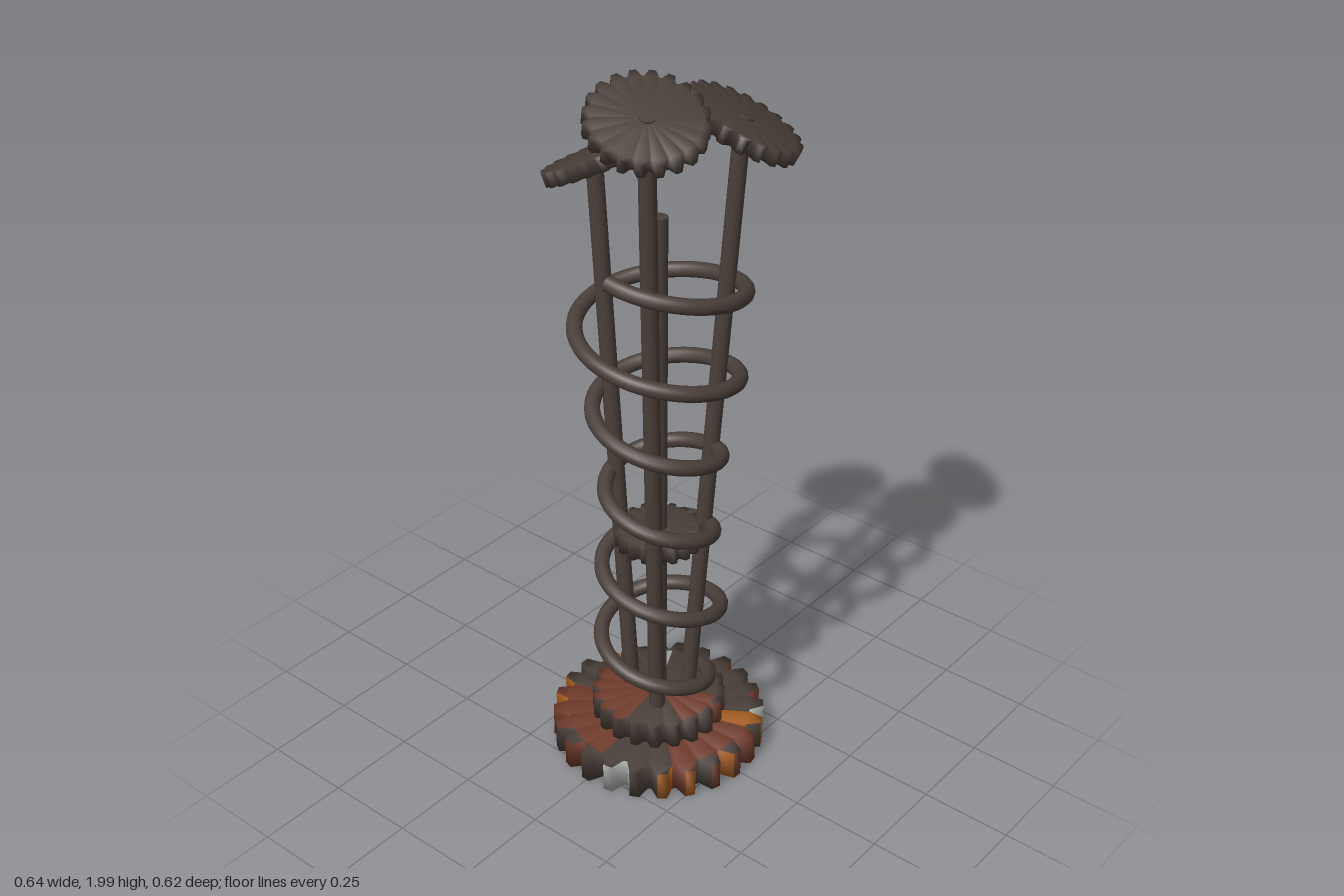
import * as THREE from 'three';

const make = (name, color) => {
  const m = new THREE.MeshStandardMaterial({ color });
  m.name = name;
  return m;
};
const materials = {
  D: make('dark iron', 0x4a3f39),
  R: make('rust', 0x6f3b2b),
  O: make('orange rust', 0xa55c1d),
  G: make('bare steel', 0xacaeab),
};
const keys = Object.keys(materials);
const CZ = 0.015; // the central axis

// Toothed disc; colour letters run around it: hub and tips of the top face, side wall, underside
function gear(name, { r, root, h, teeth, turn = 0, hub = 'D', tips = hub, side = 'D', bottom = 'D' }) {
  const pos = [0, h / 2, 0, 0, -h / 2, 0];
  const faces = { D: [], R: [], O: [], G: [] };
  const corners = [[-0.42, root], [-0.17, 1], [0.17, 1], [0.42, root]];
  const n = teeth * 4;
  for (let i = 0; i < n; i++) {
    const k = Math.floor(i / 4);
    const [shift, f] = corners[i % 4];
    const a = turn + ((k + shift) / teeth) * Math.PI * 2;
    const x = Math.cos(a) * r * f, z = Math.sin(a) * r * f;
    pos.push(x, h / 2, z, x, -h / 2, z);
    const at = (j) => 2 + ((i + j) % n) * 2;
    const t = at(0), b = t + 1, tn = at(1), bn = tn + 1;
    const pick = (letters) => faces[letters[Math.floor((i * letters.length) / n)]];
    if (i % 4 === 0) {
      pick(hub).push(0, at(3), t);
      pick(tips).push(t, at(3), at(2), t, at(2), tn);
    } else if (i % 4 === 3) {
      pick(hub).push(0, tn, t);
    }
    pick(side).push(b, t, tn, b, tn, bn);
    pick(bottom).push(1, b, bn);
  }
  const geo = new THREE.BufferGeometry();
  geo.setAttribute('position', new THREE.Float32BufferAttribute(pos, 3));
  const index = [];
  keys.forEach((key, m) => {
    if (faces[key].length) geo.addGroup(index.length, faces[key].length, m);
    index.push(...faces[key]);
  });
  geo.setIndex(index);
  geo.computeVertexNormals();
  const mesh = new THREE.Mesh(geo, keys.map((key) => materials[key]));
  mesh.name = name;
  return mesh;
}

// Straight round rod between two points
function rod(name, a, b, radius = 0.022) {
  const dir = b.clone().sub(a);
  const mesh = new THREE.Mesh(new THREE.CylinderGeometry(radius, radius, dir.length(), 16), materials.D);
  mesh.position.copy(a).lerp(b, 0.5);
  mesh.quaternion.setFromUnitVectors(new THREE.Vector3(0, 1, 0), dir.normalize());
  mesh.name = name;
  return mesh;
}

// Coil spring whose radius swells and narrows with height
function coil() {
  const group = new THREE.Group();
  group.name = 'coil';
  const knots = [[0.18, 0.122], [0.3, 0.15], [0.45, 0.156], [0.7, 0.135], [0.83, 0.136],
    [1.0, 0.16], [1.25, 0.202], [1.35, 0.204], [1.485, 0.196]];
  const radiusAt = (y) => {
    let i = 0;
    while (i < knots.length - 2 && y > knots[i + 1][0]) i++;
    const [[y0, r0], [y1, r1]] = [knots[i], knots[i + 1]];
    return THREE.MathUtils.lerp(r0, r1, THREE.MathUtils.smoothstep(y, y0, y1));
  };
  const points = [];
  for (let i = 0; i <= 176; i++) {
    const t = i / 176, a = t * Math.PI * 11, y = 0.18 + t * 1.305, r = radiusAt(y);
    points.push(new THREE.Vector3(r * Math.cos(a), y, 0.017 + 1.1 * r * Math.sin(a)));
  }
  const path = new THREE.CatmullRomCurve3(points);
  const wire = new THREE.Mesh(new THREE.TubeGeometry(path, 352, 0.021, 12), materials.D);
  wire.name = 'coilWire';
  group.add(wire);
  for (const [u, sign] of [[0, -1], [1, 1]]) {
    const cap = new THREE.Mesh(new THREE.CircleGeometry(0.021, 12), materials.D);
    cap.position.copy(path.getPointAt(u));
    cap.quaternion.setFromUnitVectors(new THREE.Vector3(0, 0, 1), path.getTangentAt(u).multiplyScalar(sign));
    cap.name = 'coilEnd';
    group.add(cap);
  }
  return group;
}

// Flat plate from an outline of [x, z] points, centred on its own y = 0
function plate(name, outline, depth, material) {
  const shape = new THREE.Shape(outline.map((p) => new THREE.Vector2(...p)));
  const geo = new THREE.ExtrudeGeometry(shape, { depth, bevelEnabled: false });
  geo.rotateX(Math.PI / 2).translate(0, depth / 2, 0);
  const mesh = new THREE.Mesh(geo, material);
  mesh.name = name;
  return mesh;
}

// Outline of a band across a disc, between two x positions
function bandOutline(x0, x1, r) {
  const a = Math.acos(x0 / r), b = Math.acos(x1 / r), upper = [];
  for (let i = 0; i <= 10; i++) {
    const t = THREE.MathUtils.lerp(a, b, i / 10);
    upper.push([r * Math.cos(t), r * Math.sin(t)]);
  }
  return [...upper, ...upper.map(([x, z]) => [x, -z]).reverse()];
}

export function createModel() {
  const model = new THREE.Group();
  model.name = 'gearFlowerSculpture';
  const place = (mesh, y) => {
    mesh.position.set(0, y, CZ);
    model.add(mesh);
  };

  // Two stacked gears as the base
  place(gear('baseGear', {
    r: 0.295, root: 0.87, h: 0.084, teeth: 24, turn: -0.2,
    hub: 'DDDDDORRRRDDDRRRRRDDORDD',
    tips: 'DDDDDORDDRDDDDDRRRDDORDD',
    side: 'GDORGDGRRGOD' + 'RRRORDORODDG' + 'GDDDRDDGRDOR' + 'OODGGDRDRDGD',
    bottom: 'GGGGGRRRRGGGGGGGGRRRRGGG',
  }), 0.044);
  place(gear('upperBaseGear', {
    r: 0.185, root: 0.88, h: 0.07, teeth: 20,
    hub: 'DDDDRRRDDDRRRRRDDDGD',
    tips: 'DDDDDDDDDDRRRRRDDDDD',
    side: 'DDDDRDDDDDDDDDDRRRRD',
  }), 0.12);

  // Painted bands under the base
  place(plate('undersideRustBand', bandOutline(-0.17, 0.03, 0.255), 0.004, materials.R), 0.002);
  place(plate('undersideDarkBand', bandOutline(0.03, 0.1, 0.255), 0.004, materials.D), 0.002);

  // Central shaft with its small gear
  model.add(rod('centralShaft', new THREE.Vector3(0, 0.14, CZ), new THREE.Vector3(0, 1.59, CZ)));
  place(gear('shaftGear', { r: 0.118, root: 0.87, h: 0.045, teeth: 18 }), 0.668);

  model.add(coil());

  // Three leaning stems, each topped by a tilted gear flower
  const thickness = 0.038;
  const flowers = [
    { name: 'right', foot: [-0.062, 0.06], head: [-0.174, 1.91, 0.12], tilt: [-0.3, 1, 0.38], r: 0.147 },
    { name: 'left', foot: [0.075, 0.06], head: [0.163, 1.81, 0.137], tilt: [0.33, 1, 0.4], r: 0.156 },
    { name: 'back', foot: [-0.01, -0.075], head: [-0.016, 1.69, -0.178], tilt: [-0.05, 1, -0.46], r: 0.134,
      side: 'DDDDGDDDDDDDDDDDDDDD', bottom: 'DDDDGDDDDDDDDDDDDDDD' },
  ];
  for (const { name, foot, head, tilt, r, side, bottom } of flowers) {
    const centre = new THREE.Vector3(...head);
    const normal = new THREE.Vector3(...tilt).normalize();
    const flower = gear(name + 'FlowerGear', { r, root: 0.87, h: thickness, teeth: 20, side, bottom });
    flower.position.copy(centre);
    flower.quaternion.setFromUnitVectors(new THREE.Vector3(0, 1, 0), normal);
    if (name === 'back') {
      // kite of bare steel showing on both faces
      const kite = [[-0.004, 0], [0.036, 0], [0.042, 0.055], [0.019, 0.115], [-0.011, 0.055]];
      flower.add(plate('steelInlay', kite, thickness + 0.005, materials.G));
    }
    model.add(flower);
    model.add(rod(name + 'Stem', new THREE.Vector3(foot[0], 0.14, foot[1]), centre));
    // stem end showing through the flower
    const a = centre.clone().addScaledVector(normal, -0.01);
    const b = centre.clone().addScaledVector(normal, 0.023);
    model.add(rod(name + 'StemTip', a, b, 0.02));
  }
  return model;
}
